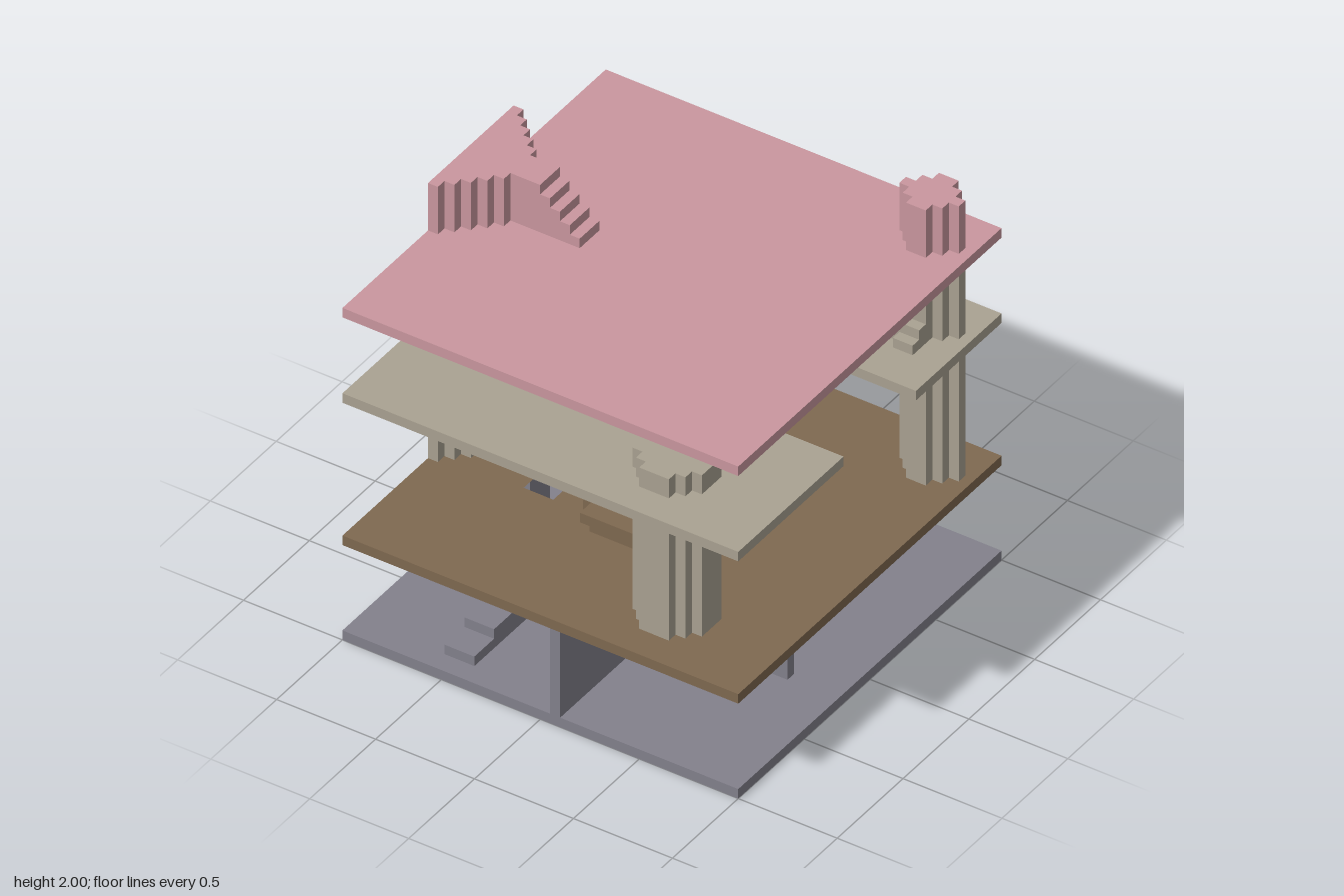
import * as THREE from 'three';
import { mergeGeometries } from 'three/addons/utils/BufferGeometryUtils.js';

const mat = (name, color) => new THREE.MeshStandardMaterial({ name, color });

export function createModel() {
  const model = new THREE.Group();
  model.name = 'towerOfFloors';
  const grey = mat('slate grey', 0x83818c);
  const brown = mat('earth brown', 0x7f6950);
  const tan = mat('sand tan', 0xaaa292);
  const pink = mat('dusty pink', 0xca979f);

  // Box given by its limits
  const box = (x0, x1, y0, y1, z0, z1) =>
    new THREE.BoxGeometry(x1 - x0, y1 - y0, z1 - z0)
      .translate((x0 + x1) / 2, (y0 + y1) / 2, (z0 + z1) / 2);

  function add(name, material, boxes) {
    const mesh = new THREE.Mesh(mergeGeometries(boxes.map((b) => box(...b))), material);
    mesh.name = name;
    model.add(mesh);
  }

  // Floor plate, outline and holes in (x, z)
  function plate(name, material, y, outline, holes = []) {
    const pts = (list) => list.map(([x, z]) => new THREE.Vector2(x, -z));
    const shape = new THREE.Shape(pts(outline));
    for (const [x0, x1, z0, z1] of holes) {
      shape.holes.push(new THREE.Path(pts([[x0, z0], [x1, z0], [x1, z1], [x0, z1]])));
    }
    const geo = new THREE.ExtrudeGeometry(shape, { depth: 0.05, bevelEnabled: false });
    geo.rotateX(-Math.PI / 2).translate(0, y, 0);
    const mesh = new THREE.Mesh(geo, material);
    mesh.name = name;
    model.add(mesh);
  }

  // Stepped round pillar: half widths (in x) of rows along z
  function pillar(name, material, cx, cz, halves, y0, y1) {
    const z0 = cz - halves.length * 0.025;
    add(name, material, halves.map((h, i) =>
      [cx - h, cx + h, y0, y1, z0 + i * 0.05, z0 + (i + 1) * 0.05]));
  }

  // Floors, with a notch where the wedge tower passes the edge
  const notch = [[-1, 0.35], [-0.95, 0.35], [-0.95, -0.3], [-1, -0.3]];
  plate('groundFloor', grey, 0, [[-1, -1], [1, -1], [1, 1], [-1, 1]]);
  plate('secondFloor', brown, 0.5,
    [[-1, -1], [1, -1], [1, 1], [-1, 1], ...notch], [[-0.55, -0.4, -0.3, 0.3]]);
  plate('thirdFloor', tan, 1.25,
    [[-1, -1], [1, -1], [1, -0.35], [-0.35, -0.35], [-0.35, 0.2], [1, 0.2], [1, 1], [-1, 1], ...notch]);
  plate('topFloor', pink, 1.7,
    [[-1, -1], [1, -1], [1, 1], [-1, 1], ...notch], [[0.65, 0.7, -0.85, -0.8]]);

  // Ground floor partition walls
  add('lengthWall', grey, [[0.05, 0.1, 0.05, 0.5, -0.25, 1]]);
  add('crossWall', grey, [[-0.25, 0.05, 0.05, 0.5, 0.2, 0.25], [0.1, 0.75, 0.05, 0.5, 0.2, 0.25]]);

  // Ground floor stair, rising to the back
  const lower = [];
  for (let i = 0; i < 9; i++) {
    const top = 0.1 + i * 0.05;
    lower.push([-0.55, -0.4, Math.max(0.05, top - 0.15), top, 0.75 - i * 0.15, 0.9 - i * 0.15]);
  }
  add('groundStair', grey, lower);

  // Wedge tower: strips narrowing away from the outer wall, ending in a nose
  function wedge(name, material, y0, y1, from, to, nose = -0.65) {
    const strips = [];
    for (let i = from; i < to; i++) {
      const h = 0.325 - i * 0.05, x = -1 + i * 0.05;
      strips.push([x, i === 5 ? nose : x + 0.05, y0, y1, 0.025 - h, 0.025 + h]);
    }
    add(name, material, strips);
  }
  wedge('towerFootOuter', grey, 0.05, 0.12, 0, 3);
  wedge('towerLowerOuter', tan, 0.12, 0.55, 0, 3);
  wedge('towerFootInner', grey, 0.05, 0.42, 3, 6);
  wedge('towerLowerInner', brown, 0.42, 0.5, 3, 6);
  wedge('towerShaft', tan, 0.55, 1.65, 0, 6);
  wedge('towerNeck', pink, 1.65, 1.75, 0, 6);
  wedge('towerHead', pink, 1.75, 2, 0, 6, -0.6);

  // Steps down from the tower head
  const headSteps = [];
  for (let i = 0; i < 4; i++) {
    headSteps.push([-0.6 + i * 0.05, -0.55 + i * 0.05, 1.75, 1.95 - i * 0.05, -0.05, 0.1]);
  }
  add('headStair', pink, headSteps);

  // Central core
  const side = [0.15, 0.2, 0.25, 0.25, 0.3, 0.3, 0.3];
  pillar('centralCore', brown, 0, 0.025, [...side, 0.3, ...side.slice().reverse()], 0.55, 1.1);

  // Rear stair winding up to the core
  add('rearStair', brown, [
    [-0.65, -0.45, 0.55, 0.6, -0.5, -0.4],
    [-0.65, -0.45, 0.6, 0.65, -0.55, -0.45],
    [-0.65, -0.45, 0.6, 0.7, -0.6, -0.55],
    [-0.65, -0.45, 0.65, 0.75, -0.75, -0.6],
    [-0.5, -0.45, 0.75, 0.8, -0.75, -0.6],
    [-0.45, -0.4, 0.75, 0.85, -0.75, -0.6],
    [-0.4, -0.3, 0.8, 0.9, -0.75, -0.6],
    [-0.3, 0, 0.85, 0.9, -0.75, -0.55],
    [-0.15, 0, 0.85, 0.95, -0.55, -0.5],
    [-0.15, 0, 0.9, 1, -0.5, -0.45],
    [-0.15, 0, 0.95, 1.05, -0.45, -0.4],
    [-0.15, 0, 1, 1.05, -0.4, -0.35],
  ]);

  // Front landing and steps up to the core
  add('frontLanding', brown, [
    [0, 0.35, 0.85, 0.9, 0.55, 0.7],
    [0, 0.15, 0.85, 0.95, 0.5, 0.55],
    [0, 0.15, 0.9, 1, 0.45, 0.5],
    [0, 0.15, 0.95, 1.05, 0.4, 0.45],
  ]);

  // Short stair from the core to the third floor
  add('coreStepLow', brown, [[0.3, 0.45, 1.1, 1.15, 0, 0.05]]);
  add('coreStair', tan, [
    [0.3, 0.45, 1.1, 1.2, 0.05, 0.1],
    [0.3, 0.45, 1.15, 1.25, 0.1, 0.15],
    [0.3, 0.45, 1.2, 1.3, 0.15, 0.2],
  ]);

  // Front pillar and back pillar
  pillar('frontPillar', tan, 0.475, 0.675,
    [0.075, 0.125, 0.175, 0.175, 0.175, 0.125, 0.075], 0.55, 1.4);
  const round = [0.05, 0.1, 0.15, 0.1, 0.05];
  pillar('backPillar', tan, 0.8, -0.775, round, 0.55, 1.65);
  pillar('backPillarHead', pink, 0.8, -0.775, round, 1.65, 2);

  // Stair winding round the back pillar
  add('windingStair', tan, [
    [0.75, 0.85, 1.3, 1.35, -0.6, -0.55],
    [0.7, 0.85, 1.3, 1.4, -0.65, -0.6],
    [0.65, 0.75, 1.4, 1.45, -0.7, -0.65],
    [0.6, 0.75, 1.45, 1.5, -0.75, -0.65],
    [0.6, 0.7, 1.5, 1.55, -0.8, -0.7],
    [0.6, 0.65, 1.5, 1.6, -0.85, -0.75],
    [0.65, 0.7, 1.55, 1.6, -0.85, -0.8],
  ]);
  add('windingStairTop', pink, [
    [0.6, 0.65, 1.6, 1.65, -0.9, -0.85],
    [0.65, 0.75, 1.65, 1.7, -0.9, -0.85],
  ]);

  return model;
}
